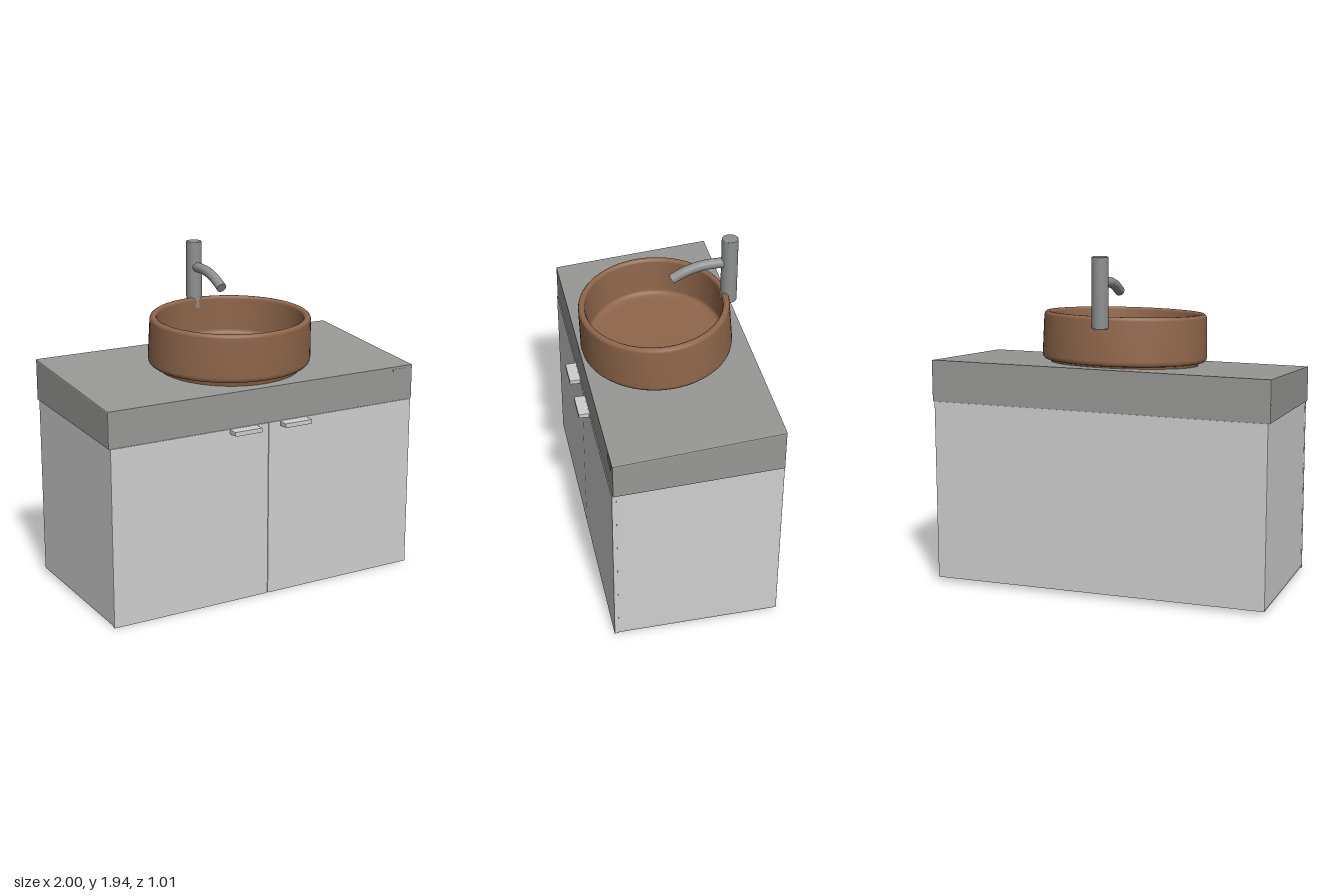
import * as THREE from 'three';

const paint = (name, color) => {
  const m = new THREE.MeshStandardMaterial({ color });
  m.name = name;
  return m;
};

export function createModel() {
  const model = new THREE.Group();
  model.name = 'washbasinCabinet';
  const white = paint('cabinetWhite', 0xcfcfcf);
  const stone = paint('counterGrey', 0x989896);
  const clay = paint('basinBrown', 0x8f664b);
  const steel = paint('tapGrey', 0x8e9090);

  const add = (name, geometry, material, parent = model) => {
    const mesh = new THREE.Mesh(geometry, material);
    mesh.name = name;
    parent.add(mesh);
    return mesh;
  };

  // Extrudes a side profile of [z, y] points across x, with softened edges
  const prism = (points, x0, x1, bevel) => {
    const shape = new THREE.Shape(points.map(([z, y]) => new THREE.Vector2(z, y)));
    const depth = x1 - x0 - 2 * bevel;
    const g = new THREE.ExtrudeGeometry(shape, {
      depth, bevelEnabled: true, bevelSize: bevel, bevelThickness: bevel,
      bevelOffset: -bevel, bevelSegments: 2,
    });
    g.translate(0, 0, -depth / 2);
    g.rotateY(-Math.PI / 2);
    g.translate((x0 + x1) / 2, 0, 0);
    return g;
  };

  // Cabinet body
  add('cabinetBody', prism(
    [[-0.505, 0.027], [0.43, 0.014], [0.43, 1.035], [-0.505, 1.08]], -0.988, 0.988, 0.006), white);

  // Doors, bottom panels and pull tabs, one set on each side
  for (const [side, s] of [['right', -1], ['left', 1]]) {
    const span = (a, b) => (s > 0 ? [a, b] : [-b, -a]);
    add(side + 'Door', prism(
      [[0.42, 0.003], [0.446, 0.0], [0.446, 1.034], [0.42, 1.035]],
      ...span(0.0005, 0.99), 0.004), white);
    add(side + 'BottomPanel', prism(
      [[-0.5, 0.023], [0.43, 0.004], [0.43, 0.02], [-0.5, 0.035]],
      ...span(0.0005, 0.986), 0.003), white);
    add(side + 'PullTab', prism(
      [[0.435, 1.003], [0.48, 1.006], [0.505, 1.006], [0.505, 1.031], [0.435, 1.033]],
      ...span(0.077, 0.252), 0.003), white);
  }

  // Sloping countertop with a small slot cover at the front
  add('countertop', prism(
    [[-0.503, 1.08], [0.441, 1.034], [0.441, 1.242], [-0.503, 1.322]], -1, 1, 0.007), stone);
  const slot = add('slotCover', new THREE.BoxGeometry(0.1, 0.045, 0.004), stone);
  slot.position.set(0.91, 1.205, 0.441);

  // Oval basin, tilted with the countertop
  const basin = new THREE.Group();
  basin.name = 'basin';
  basin.position.set(0, 1.299, 0.004);
  basin.rotation.x = 0.06;
  model.add(basin);
  const profile = [
    [0, 0], [0.455, 0], [0.472, 0.004], [0.481, 0.013], [0.485, 0.03], [0.478, 0.258],
    [0.474, 0.27], [0.465, 0.278], [0.452, 0.279], [0.441, 0.274], [0.435, 0.262],
    [0.43, 0.075], [0.424, 0.058], [0.408, 0.048], [0.38, 0.045], [0, 0.04],
  ].map(([r, y]) => new THREE.Vector2(r, y));
  const bowl = add('bowl', new THREE.LatheGeometry(profile, 72), clay, basin);
  bowl.scale.z = 0.895;
  const foot = add('basinFoot', new THREE.CylinderGeometry(0.44, 0.43, 0.04, 72), clay, basin);
  foot.position.y = -0.014;
  foot.scale.z = 0.895;

  // Tap column with softened ends
  const tap = new THREE.Group();
  tap.name = 'tap';
  model.add(tap);
  const column = [[0, 0], [0.043, 0], [0.047, 0.004], [0.047, 0.396], [0.043, 0.4], [0, 0.4]];
  add('tapColumn', new THREE.LatheGeometry(column.map(([r, y]) => new THREE.Vector2(r, y)), 32),
    steel, tap).position.set(0, 1.538, -0.415);

  // Curved spout closed by a disc at its mouth
  const curve = new THREE.CatmullRomCurve3([
    [-0.41, 1.785], [-0.31, 1.785], [-0.24, 1.777], [-0.16, 1.752], [-0.083, 1.712],
  ].map(([z, y]) => new THREE.Vector3(0, y, z)));
  add('spout', new THREE.TubeGeometry(curve, 28, 0.029, 20), steel, tap);
  const mouth = add('spoutMouth', new THREE.CircleGeometry(0.029, 20), steel, tap);
  const end = curve.getPoint(1);
  mouth.position.copy(end);
  mouth.lookAt(end.clone().add(curve.getTangent(1)));

  return model;
}
